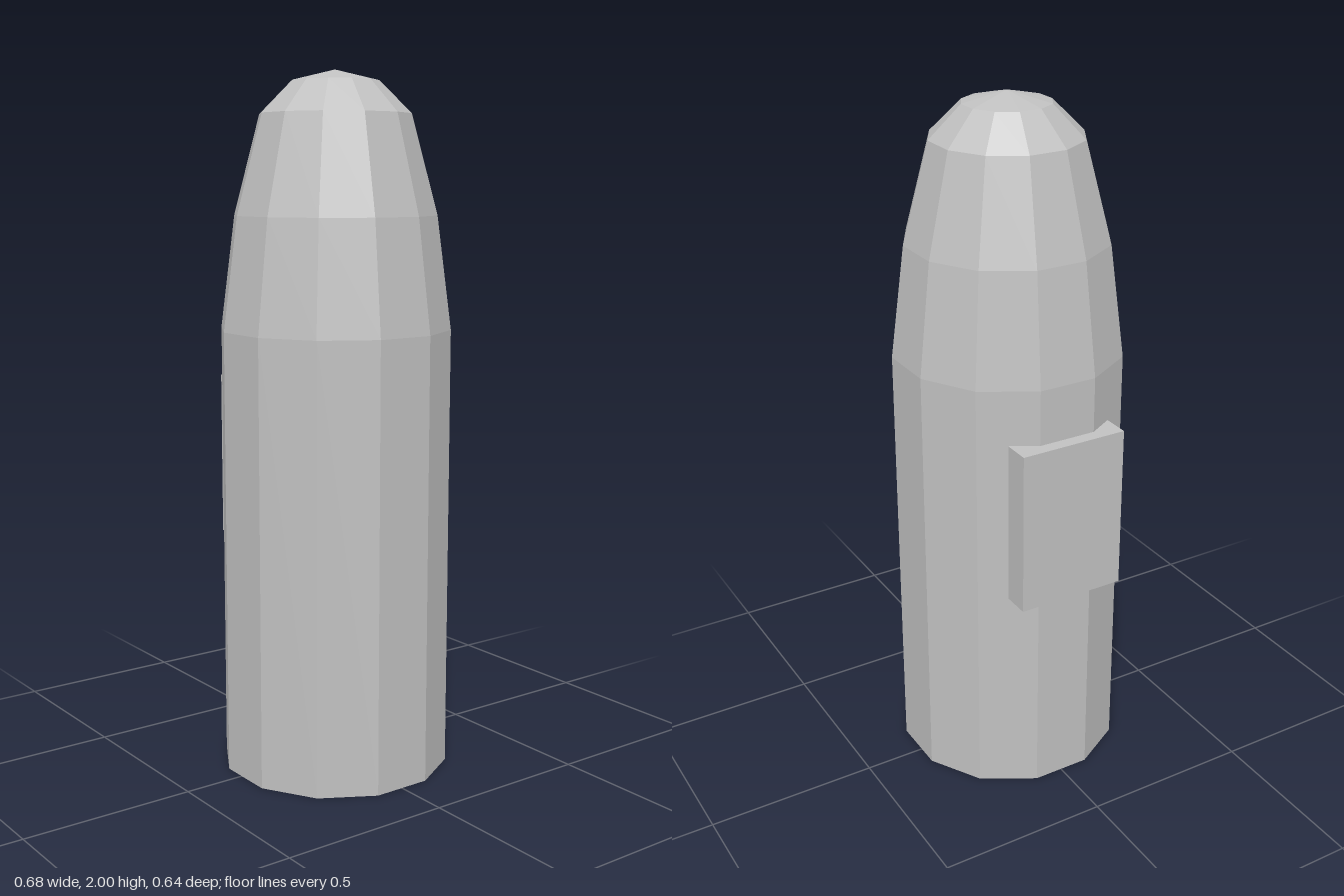
import * as THREE from 'three';

export function createModel() {
  const model = new THREE.Group();
  const grey = new THREE.MeshStandardMaterial({ color: 0xc0c0c0 });
  grey.name = 'grey';
  grey.flatShading = true;

  // Twelve-sided body with a rounded nose; profile is [flat-to-centre radius, height]
  const sides = 12;
  const profile = [[0, 0], [0.32, 0], [0.32, 1.28], [0.28, 1.6], [0.208, 1.88], [0.12, 1.97], [0, 2]]
    .map(([r, y]) => new THREE.Vector2(r / Math.cos(Math.PI / sides), y));
  const body = new THREE.Mesh(new THREE.LatheGeometry(profile, sides, Math.PI / sides), grey);
  body.name = 'body';
  body.position.x = 0.019;
  model.add(body);

  // Flat block set into the right side
  const block = new THREE.Mesh(new THREE.BoxGeometry(0.08, 0.48, 0.32), grey);
  block.name = 'sideBlock';
  block.position.set(-0.299, 0.88, 0);
  model.add(block);

  return model;
}
